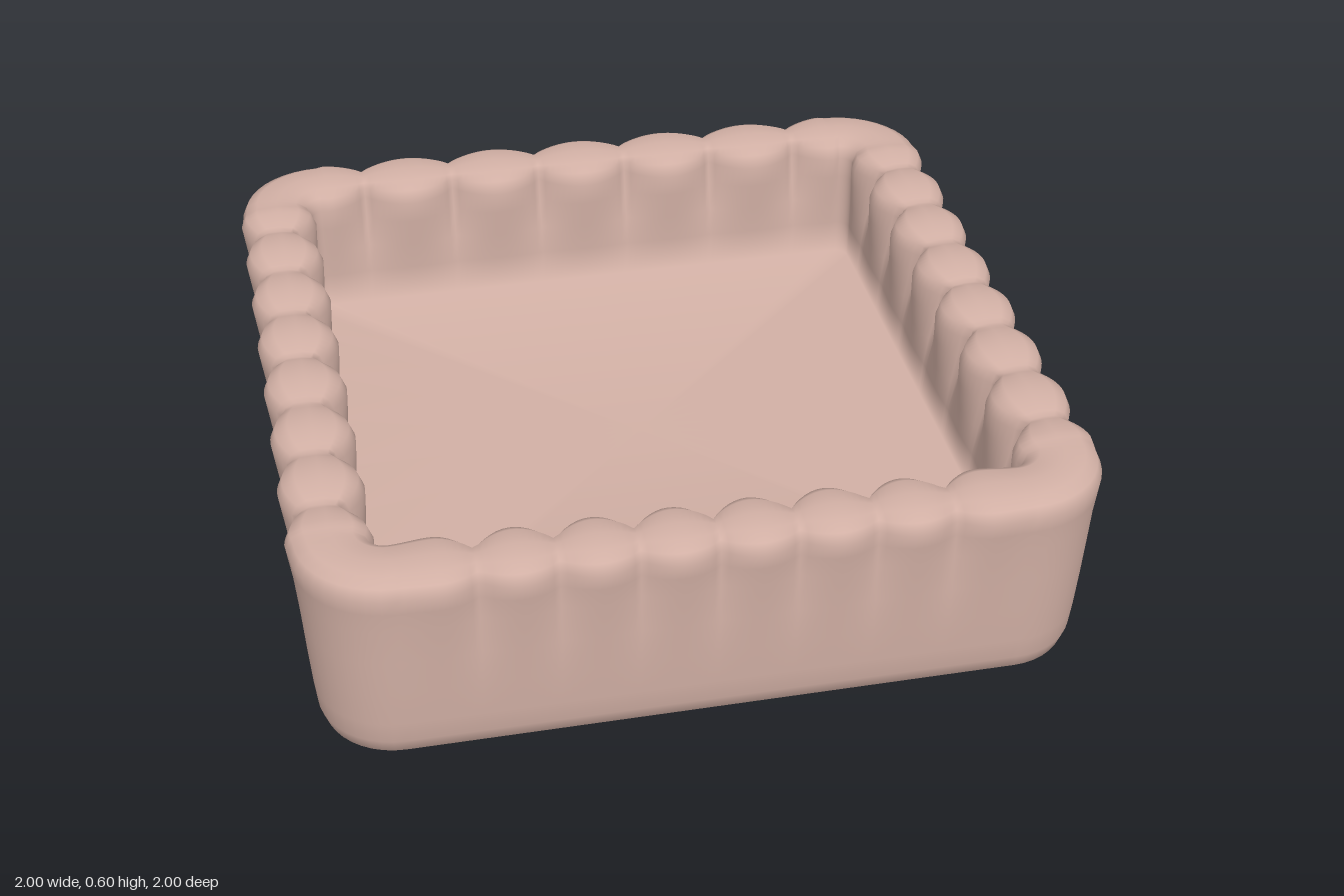
import * as THREE from 'three';

const HALF = 0.765;   // half length of each straight side of the rim centre line
const RADIUS = 0.13;  // corner radius of the centre line
const CORNER = 0.85;  // fullness of the rim at the corners
const FLOOR = 0.22;   // height of the inner floor

// Beads per side (front, +x, back, -x): pitch, odd count, and where the corner swell begins
const SIDES = [
  { pitch: 0.19, odd: false, limit: 0.665 },
  { pitch: 0.213, odd: false, limit: 0.735 },
  { pitch: 0.255, odd: true, limit: 0.745 },
  { pitch: 0.213, odd: false, limit: 0.735 },
];

// Wall section: [offset from centre line, height, notch offset, notch drop]
const PROFILE = [
  [-0.12, 0.005, 0, 0],
  [-0.03, 0.012, 0, 0],
  [0.02, 0.025, 0, 0],
  [0.05, 0.05, 0, 0],
  [0.064, 0.09, 0, 0],
  [0.07, 0.15, 0, 0],
  [0.077, 0.25, 0, 0],
  [0.084, 0.35, -0.008, 0],
  [0.092, 0.45, -0.025, 0],
  [0.1, 0.51, -0.036, 0],
  [0.105, 0.55, -0.042, 0],
  [0.092, 0.58, -0.042, -0.008],
  [0.06, 0.596, -0.03, -0.014],
  [0, 0.6, 0, -0.018],
  [-0.06, 0.593, 0.035, -0.016],
  [-0.092, 0.575, 0.06, -0.01],
  [-0.106, 0.54, 0.068, 0],
  [-0.104, 0.48, 0.055, 0],
  [-0.098, 0.4, 0.025, 0],
  [-0.095, 0.32, 0.006, 0],
  [-0.095, FLOOR, 0, 0],
];

// Bead fullness: 1 on a bead's crown, 0 in the pinch between two beads
function fullness(side, x) {
  const d = Math.abs(x);
  const a = Math.PI * Math.min(d, side.limit) / side.pitch;
  const b = Math.pow(Math.abs(side.odd ? Math.cos(a) : Math.sin(a)), 0.8);
  return THREE.MathUtils.lerp(b, CORNER, THREE.MathUtils.smoothstep(d, side.limit, HALF));
}

// Stations around the rounded square: base point, outward normal, fullness
function makePath() {
  const path = [];
  const straight = 96, corner = 10;
  SIDES.forEach((side, k) => {
    const a = k * Math.PI / 2;
    const n = [Math.sin(a), Math.cos(a)];
    const t = [Math.cos(a), -Math.sin(a)];
    for (let i = 0; i <= straight; i++) {
      const x = HALF * (2 * i / straight - 1);
      path.push({ x: n[0] * HALF + t[0] * x, z: n[1] * HALF + t[1] * x, nx: n[0], nz: n[1], b: fullness(side, x) });
    }
    for (let i = 1; i < corner; i++) {
      const p = a + (i / corner) * Math.PI / 2;
      path.push({ x: (n[0] + t[0]) * HALF, z: (n[1] + t[1]) * HALF, nx: Math.sin(p), nz: Math.cos(p), b: CORNER });
    }
  });
  return path;
}

function makeTray() {
  const path = makePath();
  const count = path.length;
  const positions = [], index = [];
  for (const [d, y, notch, drop] of PROFILE) {
    for (const s of path) {
      const r = RADIUS + d + notch * (1 - s.b);
      positions.push(s.x + s.nx * r, y + drop * (1 - s.b), s.z + s.nz * r);
    }
  }
  const rows = PROFILE.length;
  const under = rows * count, floor = under + 1;
  positions.push(0, 0, 0, 0, FLOOR, 0);
  const last = (rows - 1) * count;
  for (let i = 0; i < count; i++) {
    const n = (i + 1) % count;
    for (let j = 0; j < rows - 1; j++) {
      const a = j * count + i, b = j * count + n;
      index.push(a, b, b + count, a, b + count, a + count);
    }
    index.push(under, n, i);                // underside
    index.push(last + i, last + n, floor);  // inner floor
  }
  const geometry = new THREE.BufferGeometry();
  geometry.setAttribute('position', new THREE.Float32BufferAttribute(positions, 3));
  geometry.setIndex(index);
  geometry.computeVertexNormals();
  return geometry;
}

export function createModel() {
  const model = new THREE.Group();
  model.name = 'scallopedTray';
  const clay = new THREE.MeshStandardMaterial({ color: 0xd2b0a5 });
  clay.name = 'dusty pink clay';
  const tray = new THREE.Mesh(makeTray(), clay);
  tray.name = 'trayWithBeadedRim';
  model.add(tray);
  return model;
}
